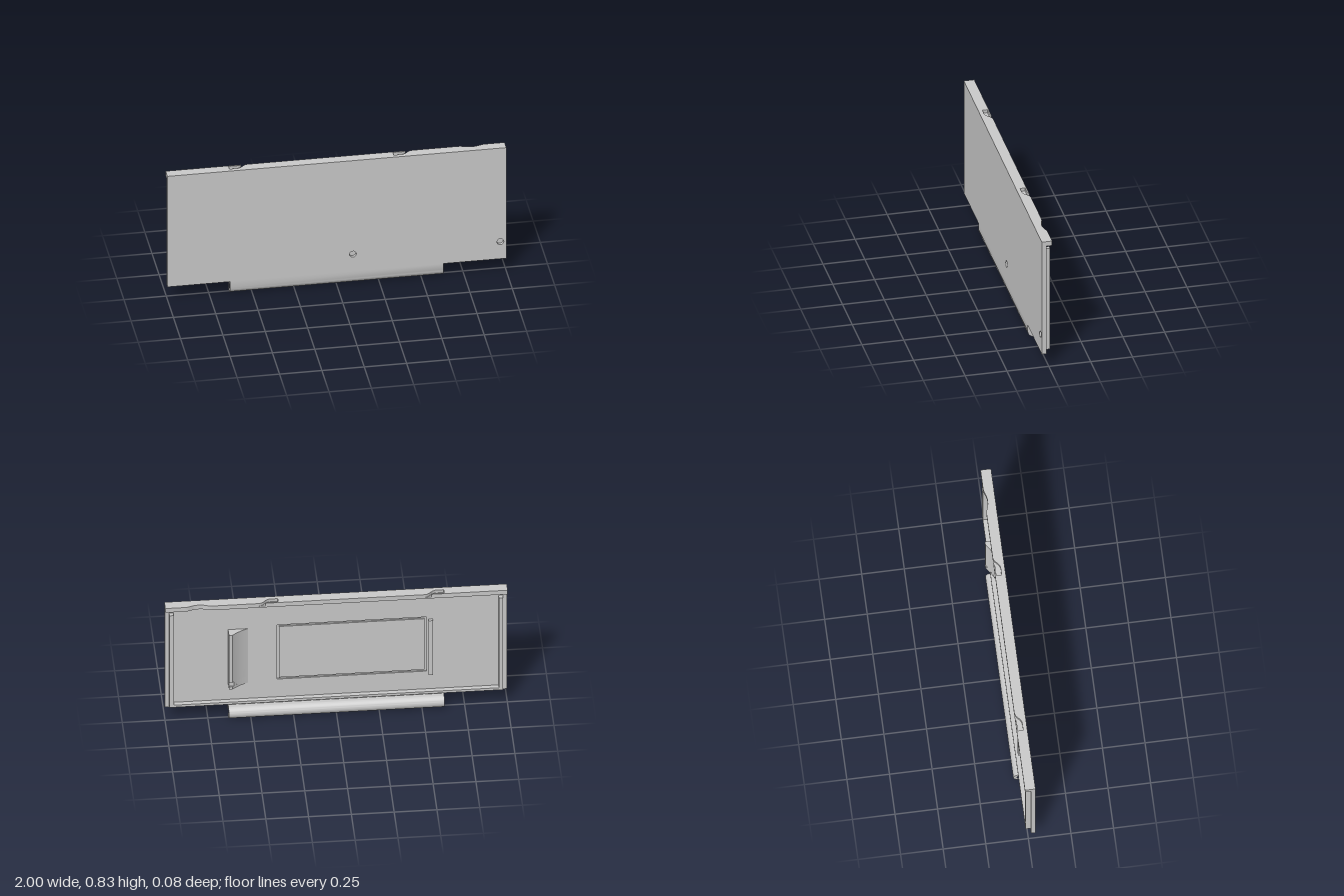
import * as THREE from 'three';
import { toCreasedNormals } from 'three/addons/utils/BufferGeometryUtils.js';

const material = new THREE.MeshStandardMaterial({ color: 0xcccccc });
const FRONT = 0.042, MID = 0.023, BACK = 0.015, RIM = -0.013, LIP = -0.02;

const poly = (points) => new THREE.Shape(points.map(([x, y]) => new THREE.Vector2(x, y)));
const rect = (x0, x1, y0, y1) => poly([[x0, y0], [x1, y0], [x1, y1], [x0, y1]]);
const circle = (x, y, r) => new THREE.Path().absarc(x, y, r, 0, Math.PI * 2, true);

export function createModel() {
  const model = new THREE.Group();

  const add = (name, geometry) => {
    const mesh = new THREE.Mesh(geometry, material);
    mesh.name = name;
    model.add(mesh);
  };
  const extrude = (shape, depth) =>
    toCreasedNormals(new THREE.ExtrudeGeometry(shape, { depth, bevelEnabled: false, curveSegments: 32 }), 0.5);
  // Outline in x and y, swept from z0 to z1
  const slab = (name, shape, z0, z1) => add(name, extrude(shape, z1 - z0).translate(0, 0, z0));
  // Outline in x and z, swept from y0 to y1
  const layer = (name, shape, y0, y1) =>
    add(name, extrude(shape, y1 - y0).rotateX(Math.PI / 2).translate(0, y1, 0));
  const box = (name, x0, x1, y0, y1, z0, z1) => slab(name, rect(x0, x1, y0, y1), z0, z1);

  // Door panel: front skin with two blind holes, back skin with a rectangular groove
  const frontSkin = rect(-1, 1, 0.085, 0.83);
  frontSkin.holes.push(circle(0.095, 0.2, 0.02), circle(0.965, 0.2, 0.02));
  slab('frontPanel', frontSkin, MID, FRONT);
  const backSkin = rect(-1, 1, 0.085, 0.8);
  backSkin.holes.push(rect(-0.53, 0.345, 0.245, 0.64));
  slab('backPanel', backSkin, BACK, MID);
  box('grooveInsert', -0.518, 0.333, 0.257, 0.628, BACK, MID);

  // Top lip with a finger scallop; the upper layer carries two hooked latch pockets
  const lipShape = (pockets) => {
    const s = new THREE.Shape();
    s.moveTo(-1, MID);
    s.lineTo(-1, LIP);
    if (pockets) {
      for (const x of [-0.63, 0.34]) {
        s.lineTo(x + 0.075, LIP);
        s.lineTo(x + 0.06, -0.012);
        s.lineTo(x, -0.012);
        s.lineTo(x, 0.018);
        s.lineTo(x + 0.045, 0.018);
        s.quadraticCurveTo(x + 0.065, 0.016, x + 0.08, -0.002);
        s.quadraticCurveTo(x + 0.095, -0.018, x + 0.115, LIP);
      }
    }
    s.lineTo(0.72, LIP);
    s.bezierCurveTo(0.76, LIP, 0.76, -0.004, 0.805, -0.004);
    s.bezierCurveTo(0.85, -0.004, 0.85, LIP, 0.89, LIP);
    s.lineTo(1, LIP);
    s.lineTo(1, MID);
    return s;
  };
  layer('lipLower', lipShape(false), 0.8, 0.81);
  layer('lipUpper', lipShape(true), 0.81, 0.83);

  // Sealing ribs along both sides and the bottom
  for (const side of [-1, 1]) {
    const a = side * 0.975, b = side * 0.95;
    box('sideRib', Math.min(a, b), Math.max(a, b), 0.1, 0.77, RIM, BACK);
  }
  box('bottomRib', -0.95, 0.95, 0.1, 0.116, RIM, BACK);

  // Slim bar beside the groove
  box('stopBar', -0.565, -0.54, 0.23, 0.625, -0.004, BACK);

  // Ramped grip with a shallow notch near its lower end
  const gripShape = (top) => {
    const s = new THREE.Shape();
    s.moveTo(0.63, BACK);
    s.lineTo(0.515, BACK);
    s.quadraticCurveTo(0.57, -0.008, 0.61 - (top + 0.042) * 1.2, top);
    s.lineTo(0.63, top);
    return s;
  };
  layer('grip', gripShape(-0.042), 0.28, 0.625);
  layer('gripNotch', gripShape(-0.034), 0.25, 0.28);
  layer('gripFoot', gripShape(-0.042), 0.23, 0.25);

  // Hinge barrel with a web joining it to the panel
  const hinge = new THREE.Shape();
  hinge.moveTo(BACK, 0.085);
  hinge.lineTo(FRONT, 0.085);
  hinge.lineTo(FRONT, 0.045);
  hinge.absarc(0, 0.04, 0.04, 0, 1.186, true);
  hinge.holes.push(circle(0, 0.04, 0.019));
  add('hingeBarrel', extrude(hinge, 1.26).rotateY(-Math.PI / 2).translate(0.63, 0, 0));

  return model;
}
